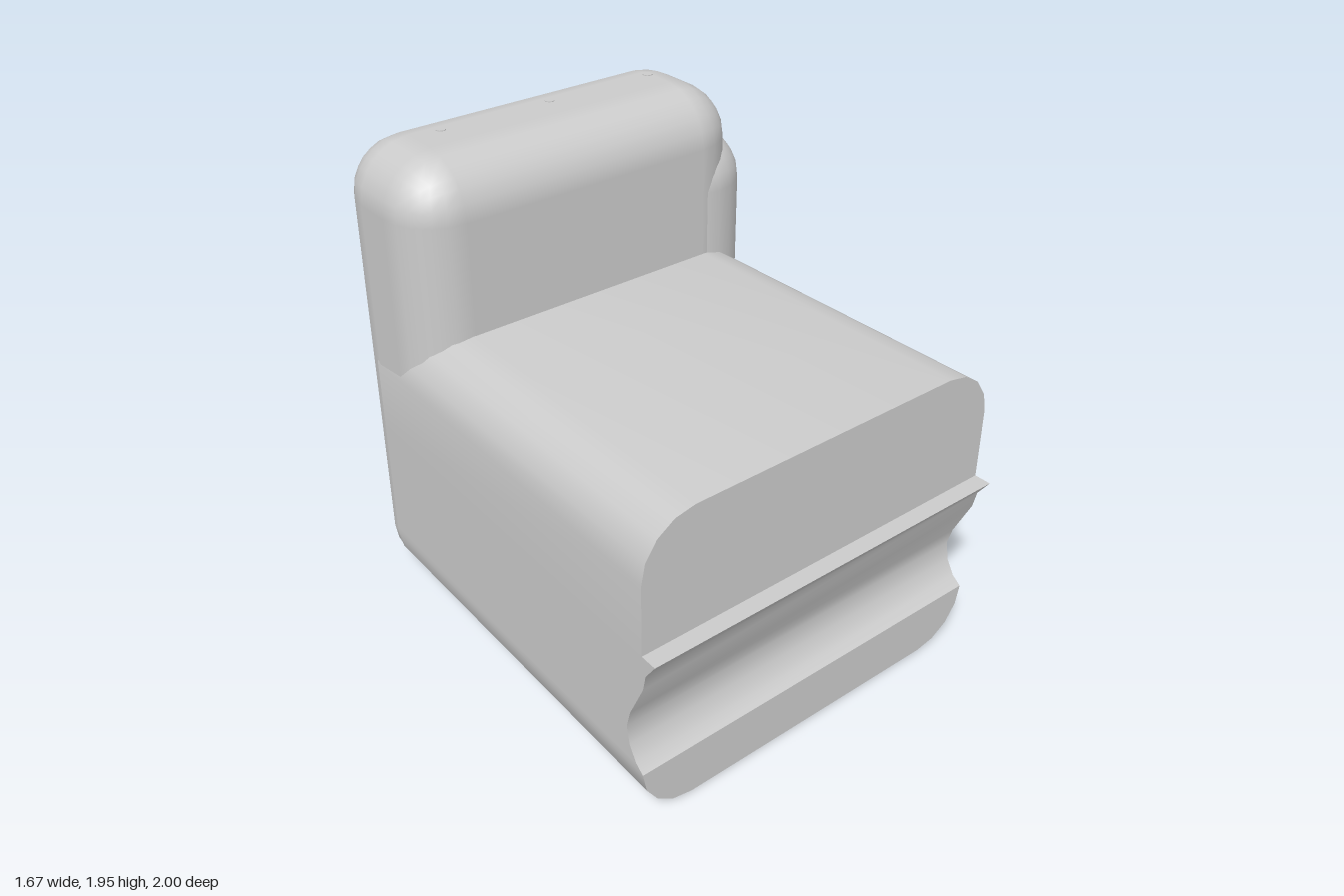
import * as THREE from 'three';
import { toCreasedNormals } from 'three/addons/utils/BufferGeometryUtils.js';
import { RoundedBoxGeometry } from 'three/addons/geometries/RoundedBoxGeometry.js';

const material = new THREE.MeshStandardMaterial({ color: 0xcccccc });

function addMesh(group, name, geometry, x = 0, y = 0, z = 0) {
  const mesh = new THREE.Mesh(geometry, material);
  mesh.name = name;
  mesh.position.set(x, y, z);
  group.add(mesh);
}

// Rounded block given by its limits on each axis
function addCushion(group, name, [x0, x1], [y0, y1], [z0, z1], radius) {
  const geometry = new RoundedBoxGeometry(x1 - x0, y1 - y0, z1 - z0, 3, radius);
  addMesh(group, name, geometry, (x0 + x1) / 2, (y0 + y1) / 2, (z0 + z1) / 2);
}

// Seat body: horizontal slices stacked upwards, each with a side inset and a front depth
function seatGeometry() {
  const height = 1.27, radius = 0.22, front = 0.93, back = -0.8, steps = 4;
  const rows = []; // [y, inset, front z]
  const arc = (i) => {
    const a = (i / steps) * Math.PI / 2;
    return [radius * (1 - Math.cos(a)), radius * (1 - Math.sin(a))];
  };
  for (let i = 0; i <= steps; i++) rows.push([arc(i)[0], arc(i)[1], front]);
  // Scooped groove with the lip above it
  const groove = [[0.25, 0.89], [0.31, 0.855], [0.385, 0.84], [0.46, 0.86],
    [0.62, 0.935], [0.69, 0.95], [0.762, 1.0], [0.762, front]];
  for (const [y, z] of groove) rows.push([y, 0, z]);
  for (let i = steps; i >= 0; i--) rows.push([height - arc(i)[0], arc(i)[1], front]);

  // The sides flare slightly towards the front
  const corner = (side, y, inset, z) => {
    const flare = 0.038 * (z - back) / (front - back);
    return [side < 0 ? -0.797 - flare + inset : 0.748 + flare - inset, y, z];
  };
  const slices = rows.map(([y, inset, z]) => [
    corner(-1, y, inset, back), corner(-1, y, inset, z),
    corner(1, y, inset, z), corner(1, y, inset, back),
  ]);

  const positions = [];
  const quad = (a, b, c, d) => positions.push(...a, ...b, ...c, ...a, ...c, ...d);
  for (let i = 0; i < slices.length - 1; i++) {
    const low = slices[i], high = slices[i + 1];
    for (let k = 0; k < 4; k++) {
      const n = (k + 1) % 4;
      quad(low[k], low[n], high[n], high[k]);
    }
  }
  quad(...slices[slices.length - 1]);
  quad(...[...slices[0]].reverse());

  const geometry = new THREE.BufferGeometry();
  geometry.setAttribute('position', new THREE.Float32BufferAttribute(positions, 3));
  return toCreasedNormals(geometry, 0.7);
}

export function createModel() {
  const model = new THREE.Group();
  model.name = 'chair';

  addMesh(model, 'seat', seatGeometry());
  addCushion(model, 'backrest', [-0.797, 0.748], [0, 1.95], [-1, -0.4], 0.22);
  addCushion(model, 'sidePad', [0.39, 0.83], [0.75, 1.75], [-1, -0.397], 0.217);

  // Small round buttons along the top of the backrest
  for (const x of [-0.455, 0.035, 0.52]) {
    addMesh(model, 'topButton', new THREE.CylinderGeometry(0.02, 0.02, 0.02, 16), x, 1.943, -0.75);
  }
  return model;
}
